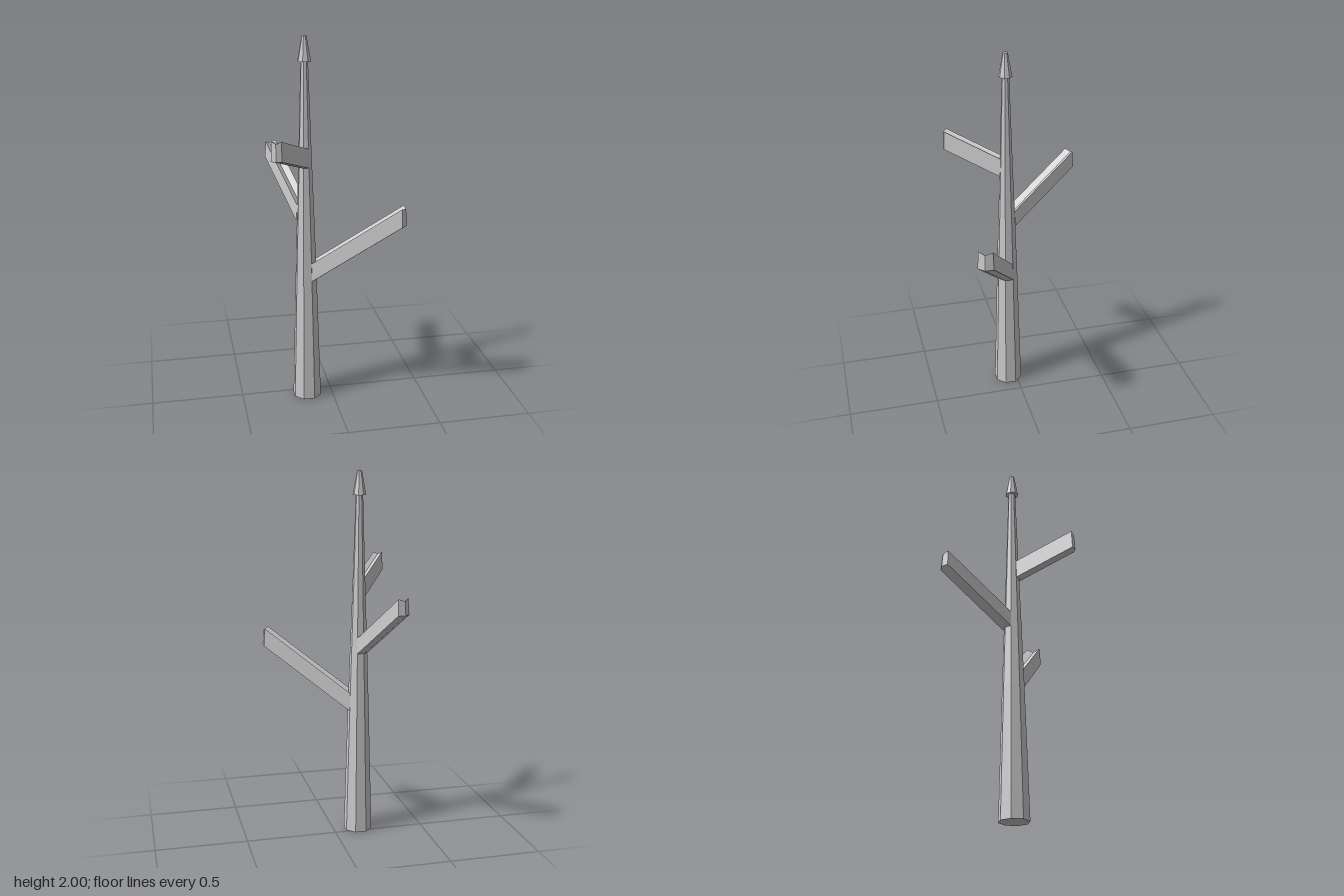
import * as THREE from 'three';

const CX = -0.14, CZ = 0.046;
const FLAT = Math.cos(Math.PI / 8); // flat-to-corner ratio of an octagon

const material = new THREE.MeshStandardMaterial({ color: 0xcccccc, flatShading: true });

// Eight-sided solid of revolution; profile lists [flat radius, height]
function octagonSolid(name, profile) {
  const points = profile.map(([r, y]) => new THREE.Vector2(r / FLAT, y));
  const mesh = new THREE.Mesh(new THREE.LatheGeometry(points, 8, Math.PI / 8), material);
  mesh.position.set(CX, 0, CZ);
  mesh.name = name;
  return mesh;
}

// Branch: two neighbouring trunk faces swept along a slanted offset
function branch(name, { corner, radius, y, height, offset }) {
  const point = (step, upper) => {
    const a = corner + step * Math.PI / 4;
    const r = (radius / FLAT) * (upper ? 0.9 : 1.03);
    const dip = upper && step === 0 ? 0.012 : 0; // shallow groove along the top
    return new THREE.Vector3(CX + r * Math.cos(a), y + (upper ? height - dip : 0), CZ + r * Math.sin(a));
  };
  const root = [point(1, false), point(0, false), point(-1, false),
    point(-1, true), point(0, true), point(1, true)];
  const shift = new THREE.Vector3(...offset);
  const end = root.map((p) => p.clone().add(shift));
  const positions = [];
  const quad = (a, b, c, d) => [a, b, c, a, c, d].forEach((p) => positions.push(p.x, p.y, p.z));
  for (let i = 0; i < 6; i++) {
    const j = (i + 1) % 6;
    quad(root[i], root[j], end[j], end[i]);
  }
  quad(end[0], end[1], end[4], end[5]);
  quad(end[1], end[2], end[3], end[4]);
  const geometry = new THREE.BufferGeometry();
  geometry.setAttribute('position', new THREE.Float32BufferAttribute(positions, 3));
  geometry.computeVertexNormals();
  const mesh = new THREE.Mesh(geometry, material);
  mesh.name = name;
  return mesh;
}

export function createModel() {
  const group = new THREE.Group();
  group.name = 'bareTree';

  // Tapering trunk and its pointed tip
  group.add(octagonSolid('trunk', [[0, 0], [0.073, 0], [0.054, 0.7], [0.044, 1.03], [0.034, 1.33], [0.018, 1.87]]));
  group.add(octagonSolid('tip', [[0, 1.87], [0.033, 1.87], [0.012, 1.995], [0, 2]]));

  // Three branches at rising heights; corner angles run from +x towards +z
  const e = Math.PI / 8;
  group.add(branch('lowerBranch', { corner: e, radius: 0.054, y: 0.7, height: 0.097, offset: [0.437, 0.345, 0.202] }));
  group.add(branch('middleBranch', { corner: 11 * e, radius: 0.046, y: 1.025, height: 0.085, offset: [-0.116, 0.265, -0.355] }));
  group.add(branch('upperBranch', { corner: 5 * e, radius: 0.036, y: 1.325, height: 0.1, offset: [-0.178, 0.111, 0.267] }));
  return group;
}
